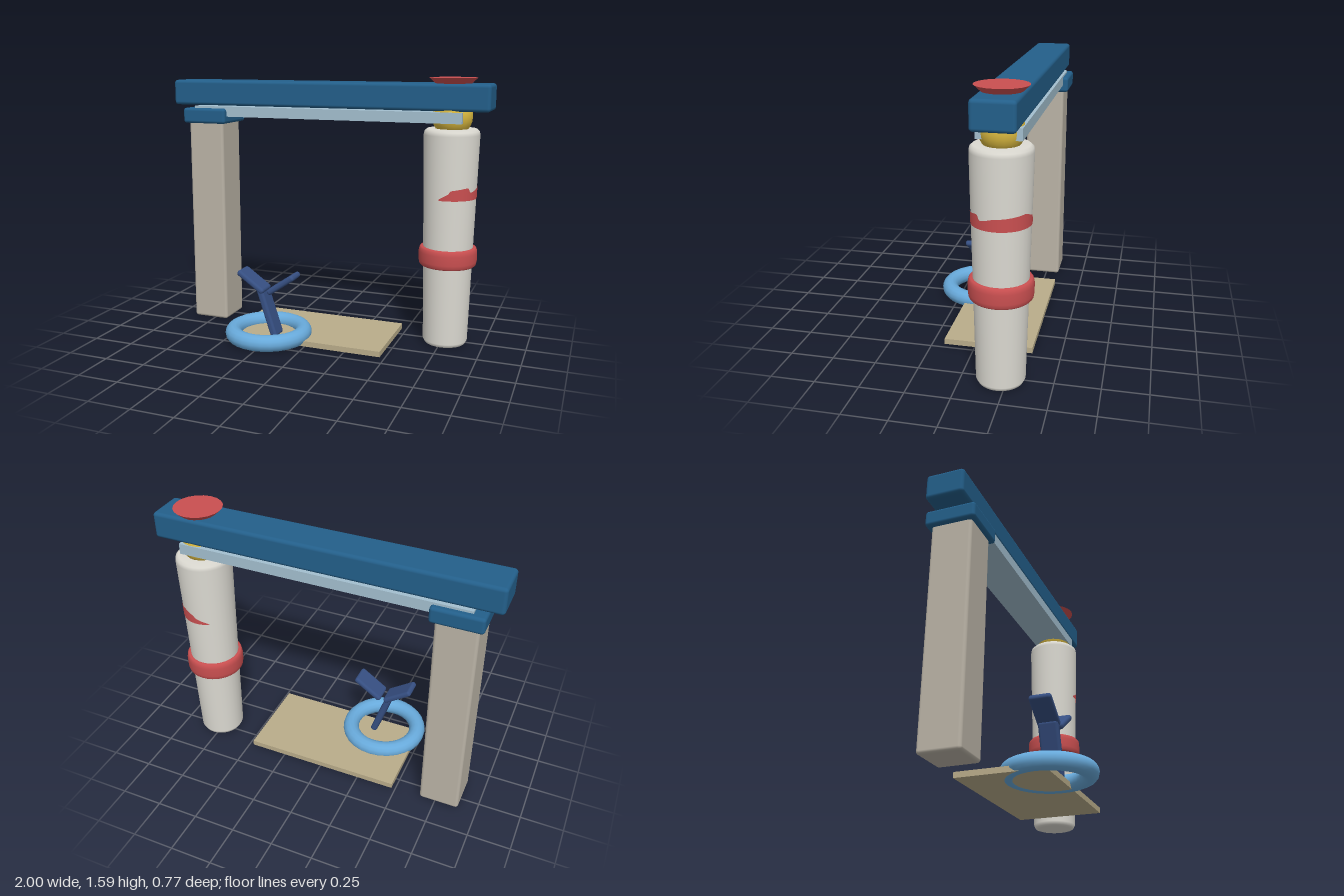
import * as THREE from 'three';
import { RoundedBoxGeometry } from 'three/addons/geometries/RoundedBoxGeometry.js';

const mat = (color, extra = {}) => new THREE.MeshStandardMaterial({ color, ...extra });
const BLUE = mat(0x235f8a), PALE = mat(0xa3bfcf), STONE = mat(0xbab3a6), IVORY = mat(0xdcdad2);
const RED = mat(0xc94f50), GOLD = mat(0xd9b83f), SKY = mat(0x68aadb), NAVY = mat(0x364f82), SAND = mat(0xb9ac8a);
const RED_THIN = mat(0xc94f50, { side: THREE.DoubleSide });

const COL_X = 0.77, COL_Z = -0.217;

export function createModel() {
  const model = new THREE.Group();
  const add = (name, geometry, material, x = 0, y = 0, z = 0, rz = 0) => {
    const mesh = new THREE.Mesh(geometry, material);
    mesh.name = name;
    mesh.position.set(x, y, z);
    mesh.rotation.z = rz;
    model.add(mesh);
    return mesh;
  };
  // box given by its limits on each axis
  const box = (name, material, [x0, x1], [y0, y1], [z0, z1], r) => {
    const s = [x1 - x0, y1 - y0, z1 - z0];
    const g = r ? new RoundedBoxGeometry(...s, 3, r) : new THREE.BoxGeometry(...s);
    return add(name, g, material, (x0 + x1) / 2, (y0 + y1) / 2, (z0 + z1) / 2);
  };
  // padded bar between two points of the front plane
  const bar = (name, [x0, y0], [x1, y1], thick, depth) => {
    const dx = x1 - x0, dy = y1 - y0;
    add(name, new RoundedBoxGeometry(Math.hypot(dx, dy), thick, depth, 3, 0.016), NAVY,
      (x0 + x1) / 2, (y0 + y1) / 2, 0.12, Math.atan2(dy, dx));
  };
  const lathe = (points) => new THREE.LatheGeometry(points.map(p => new THREE.Vector2(...p)), 32);

  // frame: square post, bracket, rail and top beam
  box('post', STONE, [-0.892, -0.655], [0.01, 1.32], [-0.337, -0.097], 0.018);
  box('bracket', BLUE, [-0.92, -0.628], [1.3, 1.395], [-0.367, -0.07], 0.018);
  box('rail', PALE, [-0.85, 0.845], [1.345, 1.408], [-0.334, -0.1]);
  box('beam', BLUE, [-1, 1], [1.413, 1.568], [-0.33, -0.105], 0.02);

  // tapered hanging column with rounded rims
  add('column', lathe([[0, 0.008], [0.105, 0.008], [0.122, 0.014], [0.133, 0.035],
    [0.162, 1.275], [0.158, 1.297], [0.143, 1.31], [0, 1.31]]), IVORY, COL_X, 0, COL_Z);
  add('columnRing', lathe([[0.14, 0.5], [0.16, 0.5], [0.168, 0.508], [0.172, 0.53],
    [0.172, 0.582], [0.168, 0.603], [0.16, 0.612], [0.14, 0.612]]), RED, COL_X, 0, COL_Z);

  // partial band with a ragged top edge: [angle in degrees from the front, height]
  const edge = [[-13, 0.916], [8, 0.95], [12, 0.968], [52, 0.984], [58, 0.952], [85, 0.972],
    [150, 0.988], [175, 0.962], [180, 0.945], [205, 0.92], [210, 0.91]];
  const topAt = (a) => {
    const i = Math.max(1, edge.findIndex(e => e[0] >= a - 1e-6));
    const [a0, y0] = edge[i - 1], [a1, y1] = edge[i];
    return y0 + (y1 - y0) * (a - a0) / (a1 - a0);
  };
  const band = new THREE.CylinderGeometry(0.1575, 0.1555, 1, 64, 1, true,
    THREE.MathUtils.degToRad(-13), THREE.MathUtils.degToRad(223));
  const pos = band.attributes.position, uv = band.attributes.uv;
  for (let i = 0; i < pos.count; i++) {
    pos.setY(i, pos.getY(i) > 0 ? topAt(-13 + 223 * uv.getX(i)) : 0.908);
  }
  add('raggedBand', band, RED_THIN, COL_X, 0, COL_Z);

  // ball joint and cap above the column
  add('ballJoint', new THREE.SphereGeometry(0.117, 20, 14), GOLD, COL_X, 1.378, COL_Z);
  add('cap', new THREE.CylinderGeometry(0.139, 0.09, 0.045, 20), RED, COL_X, 1.5775, COL_Z);

  // floor board and ring
  box('floorBoard', SAND, [-0.478, 0.472], [0.012, 0.045], [-0.338, 0.177]);
  add('floorRing', new THREE.TorusGeometry(0.216, 0.05, 14, 28).rotateX(Math.PI / 2), SKY, -0.257, 0.056, 0.114);

  // leaning stem with two spread pads
  bar('stem', [-0.196, 0.04], [-0.293, 0.335], 0.042, 0.115);
  bar('rightPad', [-0.265, 0.316], [-0.433, 0.432], 0.036, 0.128);
  bar('leftPad', [-0.237, 0.316], [-0.069, 0.432], 0.036, 0.128);
  return model;
}
